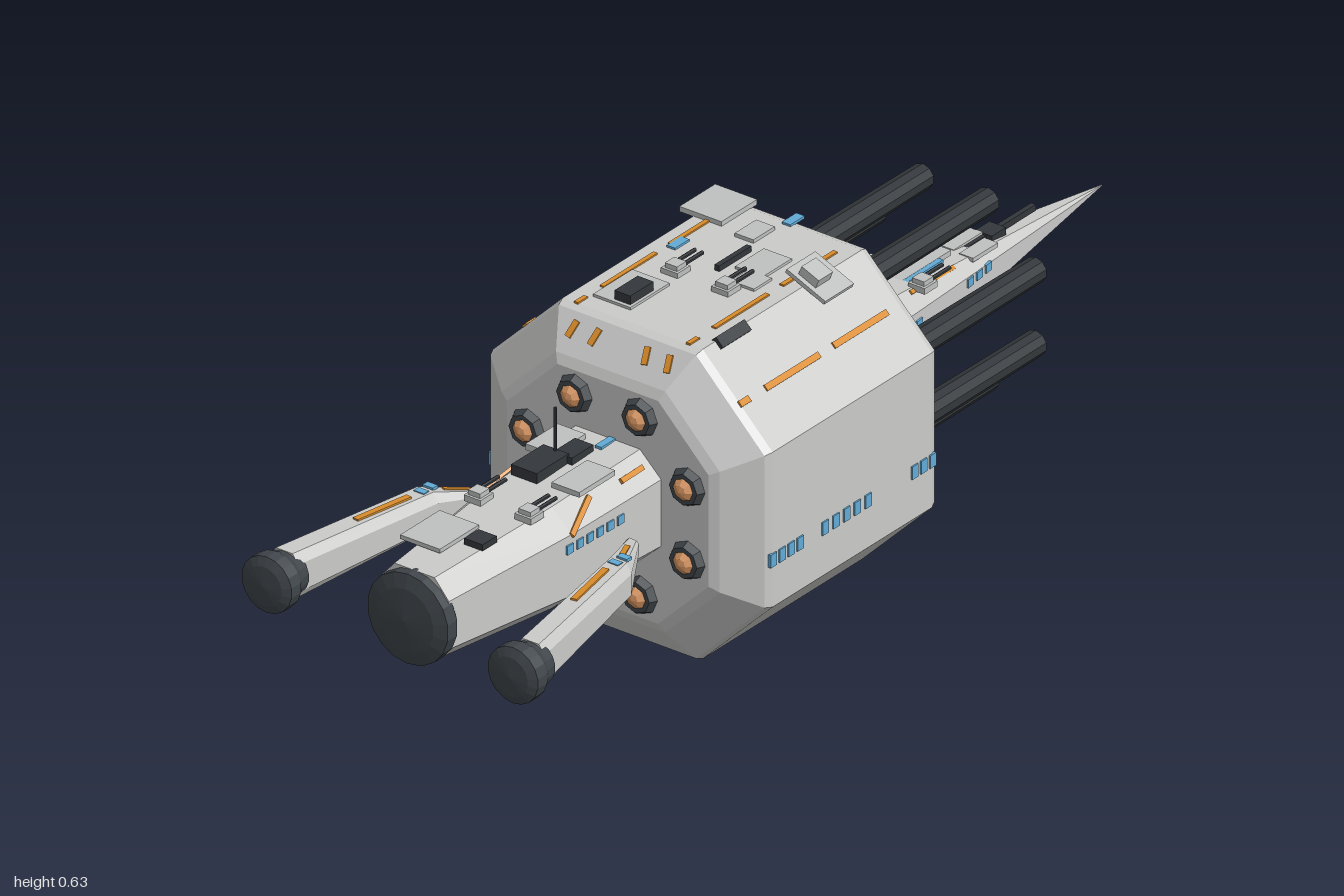
import * as THREE from 'three';

const mat = (name, color) => {
  const m = new THREE.MeshStandardMaterial({ color, flatShading: true });
  m.name = name;
  return m;
};

export function createModel() {
  const model = new THREE.Group();
  const hullGrey = mat('hullGrey', 0xcbcbca);
  const panelGrey = mat('panelGrey', 0xbfc0c0);
  const dark = mat('darkMetal', 0x3f454a);
  const black = mat('gunMetal', 0x33373b);
  const copper = mat('copper', 0xd2925f);
  const orange = mat('orangeStripe', 0xd98c2c);
  const blue = mat('blueWindow', 0x62abd6);

  const add = (name, geo, material, parent = model) => {
    const m = new THREE.Mesh(geo, material);
    m.name = name;
    parent.add(m);
    return m;
  };
  const box = (name, material, size, pos, rot = [0, 0, 0], parent = model) => {
    const m = add(name, new THREE.BoxGeometry(...size), material, parent);
    m.position.set(...pos);
    m.rotation.set(...rot);
  };
  // thin strip laid from a to b, with its face turned to the normal n
  const strip = (name, material, a, b, width, n) => {
    const A = new THREE.Vector3(...a), B = new THREE.Vector3(...b);
    const dir = B.clone().sub(A), len = dir.length();
    dir.normalize();
    const side = new THREE.Vector3(...n).cross(dir).normalize();
    const up = dir.clone().cross(side);
    const m = add(name, new THREE.BoxGeometry(width, 0.006, len), material);
    m.quaternion.setFromRotationMatrix(new THREE.Matrix4().makeBasis(side, up, dir));
    m.position.copy(A.add(B).multiplyScalar(0.5));
  };
  // chamfered eight-sided ring, counter-clockwise seen from the front
  const oct = (z, cx, hw, up, down, c) => {
    const k = 1 - c;
    return [[hw, -down * k], [hw, up * k], [hw * k, up], [-hw * k, up],
      [-hw, up * k], [-hw, -down * k], [-hw * k, -down], [hw * k, -down]]
      .map(p => [cx + p[0], 0.3 + p[1], z]);
  };
  // skin over rings ordered from front to back, capped at both ends
  const loft = (rings) => {
    const v = [], n = 8, last = rings[rings.length - 1];
    for (let r = 0; r < rings.length - 1; r++) {
      for (let i = 0; i < n; i++) {
        const j = (i + 1) % n, a = rings[r], c = rings[r + 1];
        v.push(...a[i], ...c[i], ...a[j], ...a[j], ...c[i], ...c[j]);
      }
    }
    for (let i = 1; i < n - 1; i++) {
      v.push(...rings[0][0], ...rings[0][i], ...rings[0][i + 1]);
      v.push(...last[0], ...last[i + 1], ...last[i]);
    }
    const g = new THREE.BufferGeometry();
    g.setAttribute('position', new THREE.Float32BufferAttribute(v, 3));
    g.computeVertexNormals();
    return g;
  };

  // main hull, bevelled alike at front and back
  const bevel = [[0.2925, 0.72], [0.2845, 0.78], [0.2375, 0.98], [0.2225, 1]];
  const hullRings = [...bevel, ...bevel.map(([z, s]) => [-z, s]).reverse()];
  add('mainHull', loft(hullRings.map(([z, s]) =>
    oct(z + 0.0875, 0, 0.3 * s, 0.3 * s, 0.3 * s, 0.5))), hullGrey);
  // forward fuselage and rear spike
  add('fuselage', loft([oct(0.92, 0, 0.074, 0.086, 0.074, 0.42), oct(0.62, 0, 0.106, 0.1, 0.097, 0.4),
    oct(0.37, 0, 0.115, 0.11, 0.106, 0.4)]), hullGrey);
  add('rearSpike', loft([oct(-0.19, 0, 0.1, 0.098, 0.08, 0.4), oct(-0.6, 0, 0.05, 0.049, 0.037, 0.4),
    oct(-1, 0, 0.001, 0.001, 0.001, 0.4)]), hullGrey);

  // domed engine bells
  const bell = (name, r, x, z0, z1) => {
    const pts = [[0, 0], [0.78, 0], [0.84, 0.3], [1, 0.5], [1, 0.85], [0.7, 0.95], [0, 1]]
      .map(p => new THREE.Vector2(p[0] * r, p[1] * (z1 - z0)));
    const g = new THREE.LatheGeometry(pts, 18).rotateX(Math.PI / 2);
    add(name, g, dark).position.set(x, 0.3, z0);
  };
  bell('mainEngine', 0.087, 0, 0.875, 0.95);

  // front nozzles and rear barrels, in a ring of eight
  const nozzleGeo = new THREE.CylinderGeometry(0.03, 0.043, 0.026, 8).rotateX(Math.PI / 2);
  const domeGeo = new THREE.SphereGeometry(0.024, 8, 6).rotateX(Math.PI / 2);
  const barrelGeo = new THREE.CylinderGeometry(0.026, 0.024, 0.4, 10).rotateX(Math.PI / 2);
  for (const [x, y] of [[0.07, 0.172], [0.172, 0.071]]) {
    for (const sx of [-1, 1]) for (const sy of [-1, 1]) {
      const px = sx * x, py = 0.3 + sy * y;
      add('frontNozzle', nozzleGeo, dark).position.set(px, py, 0.381);
      add('nozzleCore', domeGeo, copper).position.set(px, py, 0.383);
      add('rearBarrel', barrelGeo, black).position.set(px, py, -0.392);
    }
  }

  // evenly spaced runs of windows, calling put for each z
  const run = (start, step, count, put) => {
    for (let i = 0; i < count; i++) put(start + i * step);
  };

  for (const s of [-1, 1]) {
    // outrigger arms
    add('outriggerArm', loft([oct(0.94, s * 0.264, 0.03, 0.045, 0.045, 0.4),
      oct(0.62, s * 0.207, 0.028, 0.044, 0.024, 0.4),
      oct(0.5, s * 0.146, 0.013, 0.013, 0.018, 0.4)]), hullGrey);
    bell('outriggerEngine', 0.054, s * 0.264, 0.925, 1);
    strip('armStripe', orange, [s * 0.211, 0.345, 0.66], [s * 0.234, 0.345, 0.78], 0.012, [0, 1, 0]);
    strip('armStripe', orange, [s * 0.165, 0.322, 0.54], [s * 0.192, 0.336, 0.59], 0.01, [0, 1, -0.2]);
    run(0.605, 0.025, 2, z => box('armWindow', blue, [0.022, 0.006, 0.014], [s * 0.208, 0.343, z]));

    // hull dashes along the top and the upper chamfers
    for (const [a, b] of [[-0.1, 0.05], [0.09, 0.24], [0.285, 0.312]]) {
      strip('topStripe', orange, [s * 0.12, 0.6, a], [s * 0.12, 0.6, b], 0.009, [0, 1, 0]);
      strip('chamferStripe', orange, [s * 0.23, 0.52, a], [s * 0.23, 0.52, b], 0.012, [s, 1, 0]);
    }
    // marks on the front bevel
    for (const x of [0.055, 0.103])
      box('bevelMark', orange, [0.012, 0.032, 0.006], [s * x, 0.57, 0.344], [-0.66, 0, s * 0.2]);
    // side windows of the hull
    const hullWindow = z => box('hullWindow', blue, [0.006, 0.025, 0.017], [s * 0.3, 0.242, z]);
    run(0.235, 0.025, 4, hullWindow);
    run(0.045, 0.03, 5, hullWindow);
    run(-0.135, 0.025, 3, hullWindow);
    // fuselage windows and stripes
    run(0.49, 0.027, 6, z =>
      box('fuselageWindow', blue, [0.006, 0.017, 0.017], [s * (0.115 - (z - 0.37) * 0.036), 0.335, z]));
    strip('fuselageStripe', orange, [s * 0.107, 0.359, 0.62], [s * 0.083, 0.392, 0.54], 0.01, [s, 0.9, 0]);
    strip('fuselageStripe', orange, [s * 0.09, 0.389, 0.46], [s * 0.09, 0.39, 0.4], 0.01, [s, 0.9, 0]);
    // spike windows and stripe
    const spikeWindow = z =>
      box('spikeWindow', blue, [0.008, 0.016, 0.018], [s * (0.124 + z * 0.125), 0.322, z], [0, s * 0.12, 0]);
    run(-0.39, 0.03, 5, spikeWindow);
    run(-0.62, 0.03, 3, spikeWindow);
    strip('spikeStripe', orange, [s * 0.05, 0.368, -0.4], [s * 0.035, 0.352, -0.54], 0.008, [s, 1, 0]);
  }

  // light bars on the four rear bevels
  for (let k = 0; k < 4; k++) {
    const g = new THREE.Group();
    g.name = 'rearLightBar';
    g.position.y = 0.3;
    g.rotation.z = k * Math.PI / 2;
    box('lightBar', blue, [0.22, 0.012, 0.006], [0, 0.273, -0.167], [0.66, 0, 0], g);
    model.add(g);
  }

  // height of the upper deck along the ship: spike, hull, fuselage
  const deckY = z => z < -0.2 ? 0.42 + z * 0.12 : z < 0.38 ? 0.6 : 0.425 - z * 0.04;

  // twin-barrelled turrets
  const gunGeo = new THREE.CylinderGeometry(0.004, 0.004, 0.06, 6).rotateX(Math.PI / 2);
  for (const z of [0.12, 0.67, -0.43]) {
    for (const s of [-1, 1]) {
      const t = new THREE.Group();
      t.name = 'turret';
      t.position.set(s * 0.054, deckY(z) - 0.002, z);
      box('turretBase', panelGrey, [0.036, 0.012, 0.036], [0, 0.006, 0], [0, 0, 0], t);
      box('turretHead', panelGrey, [0.026, 0.012, 0.026], [0, 0.015, 0], [0, 0, 0], t);
      for (const d of [-0.008, 0.008]) add('turretGun', gunGeo, black, t).position.set(d, 0.014, -0.035);
      model.add(t);
    }
  }

  // deck equipment resting on the deck: width, height, depth, x, z
  const deck = (name, material, items) => {
    for (const [w, h, d, x, z] of items) box(name, material, [w, h, d], [x, deckY(z) + h / 2 - 0.001, z]);
  };
  deck('hullPlate', panelGrey, [[0.09, 0.01, 0.1, -0.135, -0.105], [0.08, 0.006, 0.11, -0.072, 0.22],
    [0.06, 0.006, 0.08, 0.05, 0.01], [0.04, 0.008, 0.06, -0.03, -0.07], [0.05, 0.006, 0.05, 0.07, 0.07]]);
  deck('hullEquipment', black, [[0.034, 0.023, 0.065, -0.055, 0.235], [0.01, 0.012, 0.09, 0, 0.03]]);
  deck('deckLight', blue, [[0.018, 0.005, 0.04, -0.11, 0.04], [0.018, 0.005, 0.04, -0.005, -0.145],
    [0.014, 0.005, 0.04, 0.01, 0.4], [0.05, 0.006, 0.13, 0, -0.46]]);
  deck('fuselagePlate', panelGrey, [[0.06, 0.01, 0.1, 0.055, 0.52], [0.06, 0.012, 0.09, -0.058, 0.45],
    [0.085, 0.008, 0.11, -0.038, 0.8]]);
  deck('fuselageEquipment', black, [[0.055, 0.02, 0.09, -0.03, 0.53], [0.04, 0.014, 0.06, -0.012, 0.46],
    [0.04, 0.012, 0.04, 0.038, 0.785]]);
  deck('spikePlate', panelGrey, [[0.03, 0.01, 0.14, 0, -0.49], [0.045, 0.008, 0.08, -0.025, -0.63],
    [0.03, 0.008, 0.07, 0.028, -0.62]]);
  deck('spikeEquipment', black, [[0.03, 0.012, 0.04, -0.01, -0.345], [0.036, 0.014, 0.04, 0, -0.69],
    [0.01, 0.012, 0.22, 0, -0.7]]);
  // tilted plate and unit on the hull's left shoulder
  box('shoulderPlate', panelGrey, [0.09, 0.008, 0.08], [0.155, 0.601, -0.01], [0, 0, -0.4]);
  box('shoulderUnit', panelGrey, [0.04, 0.025, 0.04], [0.153, 0.612, 0], [0, 0, -0.4]);
  box('shoulderDuct', black, [0.022, 0.012, 0.08], [0.155, 0.597, 0.235], [0, 0, -0.785]);

  // antenna mast
  add('antenna', new THREE.CylinderGeometry(0.003, 0.003, 0.1, 6), black).position.set(-0.028, 0.456, 0.49);
  return model;
}
